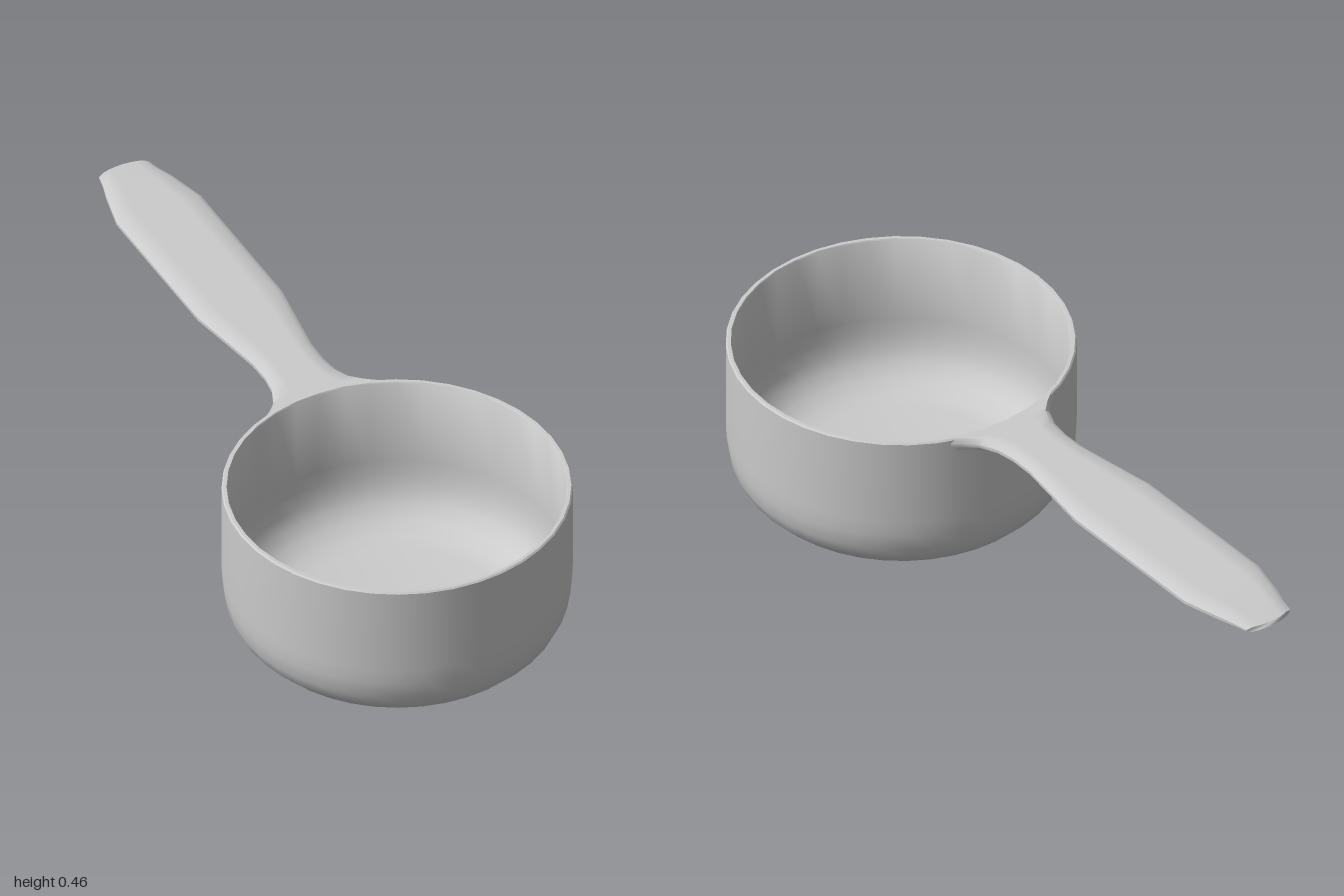
import * as THREE from 'three';
import { toCreasedNormals } from 'three/addons/utils/BufferGeometryUtils.js';

const CUP_Z = 0.545; // centre of the bowl
const RADIUS = 0.455;
const HEIGHT = 0.455;
const WALL = 0.016;

const material = new THREE.MeshStandardMaterial({ color: 0xcccccc, side: THREE.DoubleSide });

// Bowl: outer profile up to the rim, then the inner profile back down
function createBowl() {
  const profile = [
    [0, 0], [0.3, 0.001], [0.348, 0.009], [0.392, 0.032], [0.426, 0.067],
    [0.445, 0.107], [0.453, 0.155], [RADIUS, 0.2], [RADIUS, HEIGHT - 0.004], [RADIUS - 0.004, HEIGHT],
    [RADIUS - WALL + 0.003, HEIGHT], [RADIUS - WALL, HEIGHT - 0.004], [0.439, 0.2], [0.437, 0.157],
    [0.43, 0.113], [0.414, 0.077], [0.384, 0.046], [0.344, 0.025], [0.3, 0.017], [0, 0.016],
  ].map(([r, y]) => new THREE.Vector2(r, y));
  const geometry = toCreasedNormals(new THREE.LatheGeometry(profile, 40), 0.7);
  const bowl = new THREE.Mesh(geometry, material);
  bowl.name = 'bowl';
  bowl.position.z = CUP_Z;
  return bowl;
}

// Handle: bevelled cross-sections lofted along z, the last ones bent to hug the bowl
function createHandle() {
  // [z, half width, bottom, top, bend]
  const stations = [
    [-1, 0.072, 0.431, 0.446, -0.9],
    [-0.965, 0.08, 0.427, 0.45, -0.8],
    [-0.9, 0.096, 0.425, 0.455, 0],
    [-0.79, 0.123, 0.425, 0.455, 0],
    [-0.335, 0.123, 0.425, 0.455, 0],
    [-0.2, 0.102, 0.425, 0.455, 0],
    [-0.1, 0.087, 0.425, 0.455, 0],
    [-0.03, 0.086, 0.425, 0.455, 0],
    [0.02, 0.094, 0.424, 0.455, 0.4],
    [0.06, 0.116, 0.422, 0.455, 0.9],
    [0.082, 0.148, 0.419, 0.455, 1],
    [0.101, 0.2, 0.412, 0.455, 1],
  ];
  const across = [-1, -0.6, -0.2, 0.2, 0.6, 1];
  const positions = [], indices = [];
  for (const [z, w, bottom, top, bend] of stations) {
    const inner = w - 0.016, t = top - bottom;
    const ring = [
      ...across.map((f) => [f * inner, top]),
      [w, top - t * 0.35], [w, bottom + t * 0.35],
      ...across.map((f) => [-f * inner, bottom]),
      [-w, bottom + t * 0.35], [-w, top - t * 0.35],
    ];
    for (const [x, y] of ring) {
      // The tip bows outwards, the root follows the round wall
      const sag = bend < 0 ? -bend * 3 * x * x : bend * (0.445 - Math.sqrt(0.445 ** 2 - x * x));
      positions.push(x, y, z + sag);
    }
  }
  const n = 2 * across.length + 4;
  for (let s = 0; s < stations.length - 1; s++) {
    for (let i = 0; i < n; i++) {
      const a = s * n + i, b = s * n + ((i + 1) % n);
      indices.push(a, a + n, b, b, a + n, b + n);
    }
  }
  // Tip cap
  for (let i = 1; i < n - 1; i++) indices.push(0, i, i + 1);

  const geometry = new THREE.BufferGeometry();
  geometry.setAttribute('position', new THREE.Float32BufferAttribute(positions, 3));
  geometry.setIndex(indices);
  const handle = new THREE.Mesh(toCreasedNormals(geometry, 0.8), material);
  handle.name = 'handle';
  return handle;
}

export function createModel() {
  const group = new THREE.Group();
  group.name = 'measuringCup';
  group.add(createBowl(), createHandle());
  return group;
}
